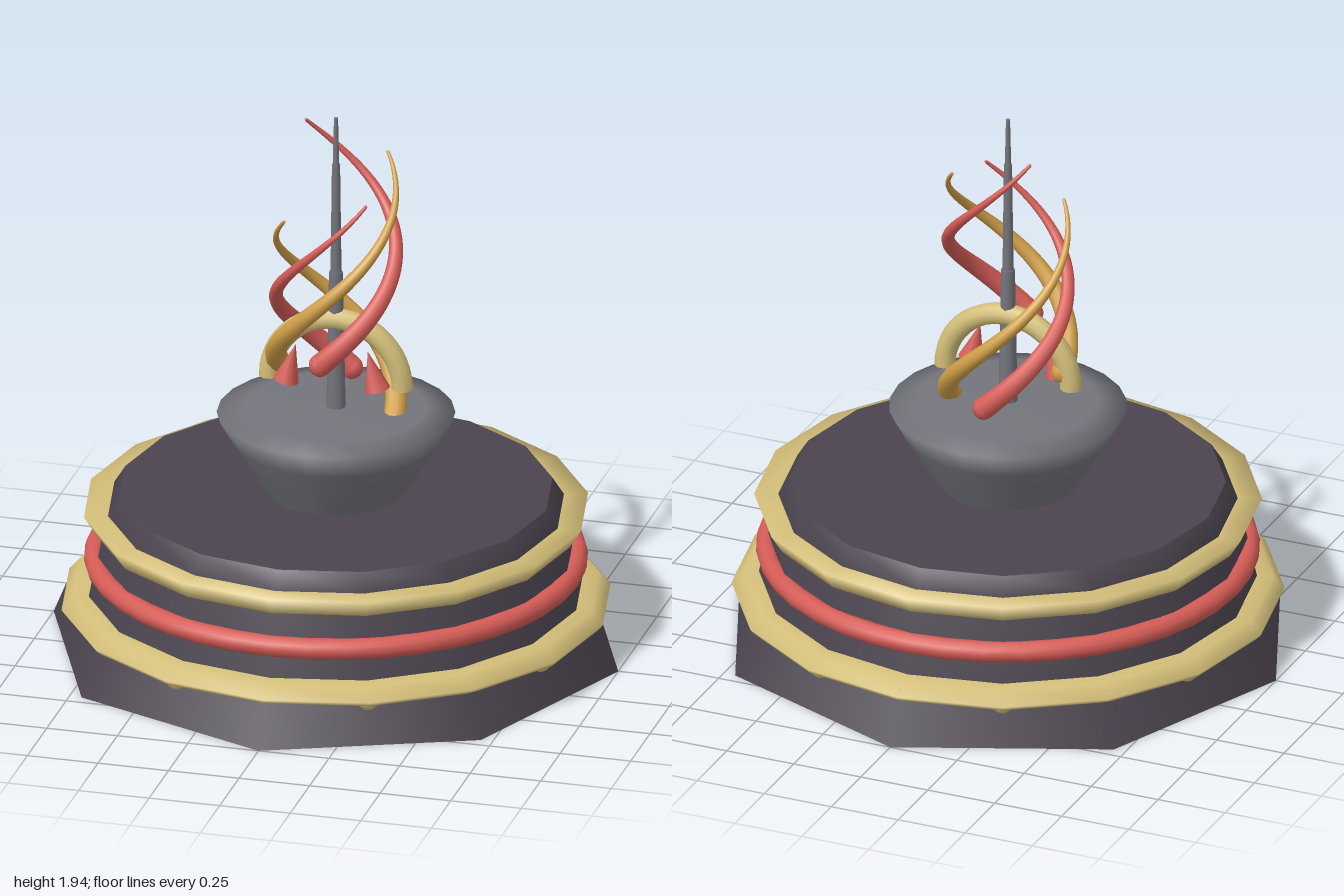
import * as THREE from 'three';

const mat = (name, color, side = THREE.FrontSide) => {
  const m = new THREE.MeshStandardMaterial({ color, side });
  m.name = name;
  return m;
};

export function createModel() {
  const model = new THREE.Group();
  model.name = 'spireMonument';
  const dark = mat('dark stone', 0x4b444f);
  const gray = mat('gray stone', 0x74757c);
  const pale = mat('pale gold', 0xd3be79);
  const amber = mat('amber', 0xd09f48);
  const red = mat('coral red', 0xd55c56);

  const add = (name, geometry, material, x = 0, y = 0, z = 0) => {
    const mesh = new THREE.Mesh(geometry, material);
    mesh.name = name;
    mesh.position.set(x, y, z);
    model.add(mesh);
    return mesh;
  };
  const lathe = (points, sides) =>
    new THREE.LatheGeometry(points.map(([r, y]) => new THREE.Vector2(r, y)), sides);

  // Stepped plinth: octagonal foot under a sixteen-sided drum
  add('foot', new THREE.CylinderGeometry(0.923, 1, 0.19, 8), dark, 0, 0.095);
  add('drum', lathe([[0.86, 0.17], [0.785, 0.505], [0.745, 0.568]], 16), dark);
  add('drumTop', new THREE.CircleGeometry(0.745, 16).rotateX(-Math.PI / 2), dark, 0, 0.568);

  // Bands around the plinth
  add('lowerBand', lathe([[0.84, 0.15], [0.935, 0.15], [0.945, 0.165], [0.905, 0.21], [0.83, 0.21]], 16), pale);
  add('middleBand', new THREE.TorusGeometry(0.825, 0.037, 12, 40).rotateX(Math.PI / 2), red, 0, 0.318);
  add('upperBand', lathe([[0.78, 0.44], [0.828, 0.44], [0.868, 0.505], [0.77, 0.505]], 16), pale);

  // Studs at the middle of each foot face
  for (let i = 0; i < 8; i++) {
    const a = Math.PI / 8 + (i * Math.PI) / 4;
    add('stud', new THREE.SphereGeometry(0.04, 8, 6), pale, 0.885 * Math.cos(a), 0.158, 0.885 * Math.sin(a));
  }

  // Bowl
  add('bowl', lathe([[0.24, 0.565], [0.305, 0.67], [0.355, 0.755], [0.408, 0.85], [0.31, 0.87], [0, 0.872]], 24), gray);

  // Stepped spire
  [[0.033, 0.024, 0.86, 1.37], [0.019, 0.014, 1.37, 1.77], [0.011, 0.007, 1.77, 1.94]].forEach(([r0, r1, y0, y1]) =>
    add('spire', new THREE.CylinderGeometry(r1, r0, y1 - y0, 10), gray, 0, (y0 + y1) / 2));

  // Arch straddling the spire, with closed ends
  add('arch', new THREE.TorusGeometry(0.235, 0.038, 10, 24, Math.PI), pale, 0, 0.962);
  for (const s of [-1, 1]) {
    add('archEnd', new THREE.CircleGeometry(0.038, 10).rotateX(Math.PI / 2), pale, s * 0.235, 0.962);
    // Small cones leaning in towards the spire
    const cone = add('cone', new THREE.ConeGeometry(0.045, 0.14, 10), red, s * 0.145, 1.042, 0.055);
    cone.rotation.z = s * 0.25;
  }

  // Four tapered ribbons spiralling up around the spire
  const R = 0.205, steps = 48, around = 10;
  for (let k = 0; k < 4; k++) {
    const points = [];
    for (let i = 0; i <= steps; i++) {
      const t = i / steps;
      const a = -k * Math.PI / 2 - t * Math.PI * 1.25;
      points.push(new THREE.Vector3(R * Math.cos(a), 0.845 + 0.087 * k + 0.752 * t, R * Math.sin(a)));
    }
    const curve = new THREE.CatmullRomCurve3(points);
    const tube = new THREE.TubeGeometry(curve, steps, 1, around);
    const pos = tube.attributes.position, v = new THREE.Vector3();
    for (let i = 0; i <= steps; i++) {
      const centre = curve.getPointAt(i / steps);
      const radius = 0.04 - 0.034 * (i / steps);
      for (let j = 0; j <= around; j++) {
        const n = i * (around + 1) + j;
        v.fromBufferAttribute(pos, n).sub(centre).multiplyScalar(radius).add(centre);
        pos.setXYZ(n, v.x, v.y, v.z);
      }
    }
    const material = k % 2 ? red : amber;
    add('ribbon', tube, material);
    add('ribbonEnd', new THREE.SphereGeometry(0.04, 10, 8), material, ...points[0].toArray());
    add('ribbonTip', new THREE.SphereGeometry(0.006, 6, 4), material, ...points[steps].toArray());
  }
  return model;
}
